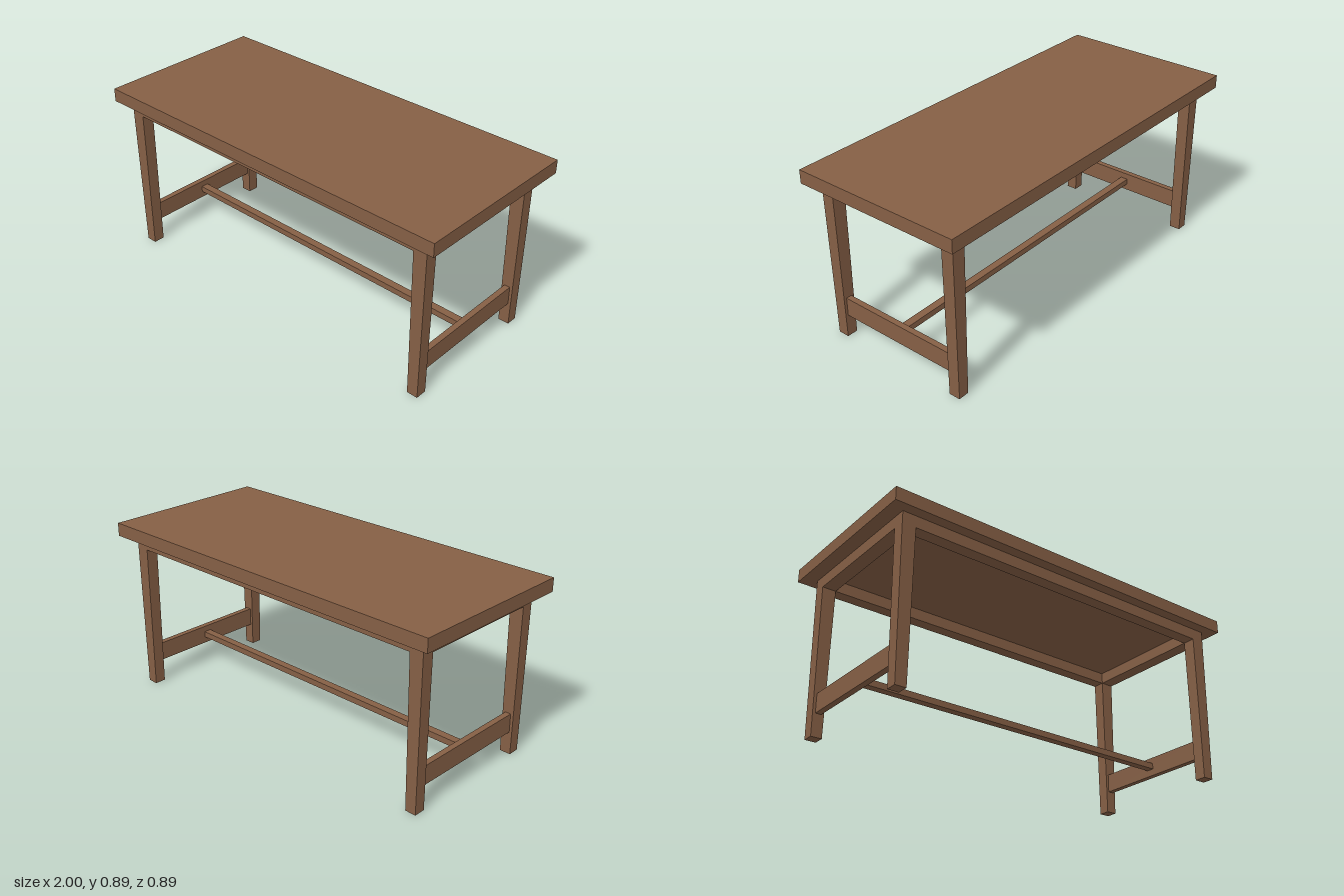
import * as THREE from 'three';

const wood = new THREE.MeshStandardMaterial({ color: 0x855f45 });
wood.name = 'brown wood';

const FRAME_Z = 0.006; // the underframe sits slightly forward of the top

function box(name, parent, size, pos) {
  const mesh = new THREE.Mesh(new THREE.BoxGeometry(...size), wood);
  mesh.name = name;
  mesh.position.set(...pos);
  parent.add(mesh);
  return mesh;
}

// Rectangular outline, used for the apron and its opening
function rectangle(target, x, z) {
  target.moveTo(-x, -z);
  target.lineTo(x, -z);
  target.lineTo(x, z);
  target.lineTo(-x, z);
  target.closePath();
  return target;
}

// Square leg narrowing slightly towards the floor
function legGeometry(height) {
  const geo = new THREE.BoxGeometry(1, height, 1);
  const p = geo.attributes.position;
  for (let i = 0; i < p.count; i++) {
    const top = p.getY(i) > 0;
    p.setX(i, p.getX(i) * (top ? 0.07 : 0.056));
    p.setZ(i, p.getZ(i) * (top ? 0.063 : 0.058));
  }
  geo.computeVertexNormals();
  return geo;
}

export function createModel() {
  const table = new THREE.Group();
  table.name = 'table';

  box('tableTop', table, [2, 0.068, 0.886], [0, 0.854, 0]);

  const underframe = new THREE.Group();
  underframe.name = 'underframe';
  underframe.position.z = FRAME_Z;
  table.add(underframe);

  // Apron: one hollow ring, flush with the legs
  const ring = rectangle(new THREE.Shape(), 0.93, 0.384);
  ring.holes.push(rectangle(new THREE.Path(), 0.86, 0.321));
  const apronGeo = new THREE.ExtrudeGeometry(ring, { depth: 0.06, bevelEnabled: false });
  apronGeo.rotateX(-Math.PI / 2);
  const apron = new THREE.Mesh(apronGeo, wood);
  apron.name = 'apron';
  apron.position.y = 0.761;
  underframe.add(apron);

  // Legs and the end stretchers between them
  const legGeo = legGeometry(0.761);
  for (const sx of [-1, 1]) {
    const side = sx > 0 ? 'left' : 'right';
    for (const sz of [-1, 1]) {
      const leg = new THREE.Mesh(legGeo, wood);
      leg.name = side + (sz > 0 ? 'FrontLeg' : 'BackLeg');
      leg.position.set(sx * 0.895, 0.3805, sz * 0.3525);
      underframe.add(leg);
    }
    box(side + 'Stretcher', underframe, [0.03, 0.097, 0.65], [sx * 0.895, 0.1635, 0]);
  }

  // Long bar joining the two end stretchers
  box('longStretcher', underframe, [1.77, 0.031, 0.04], [0, 0.165, 0]);

  return table;
}
